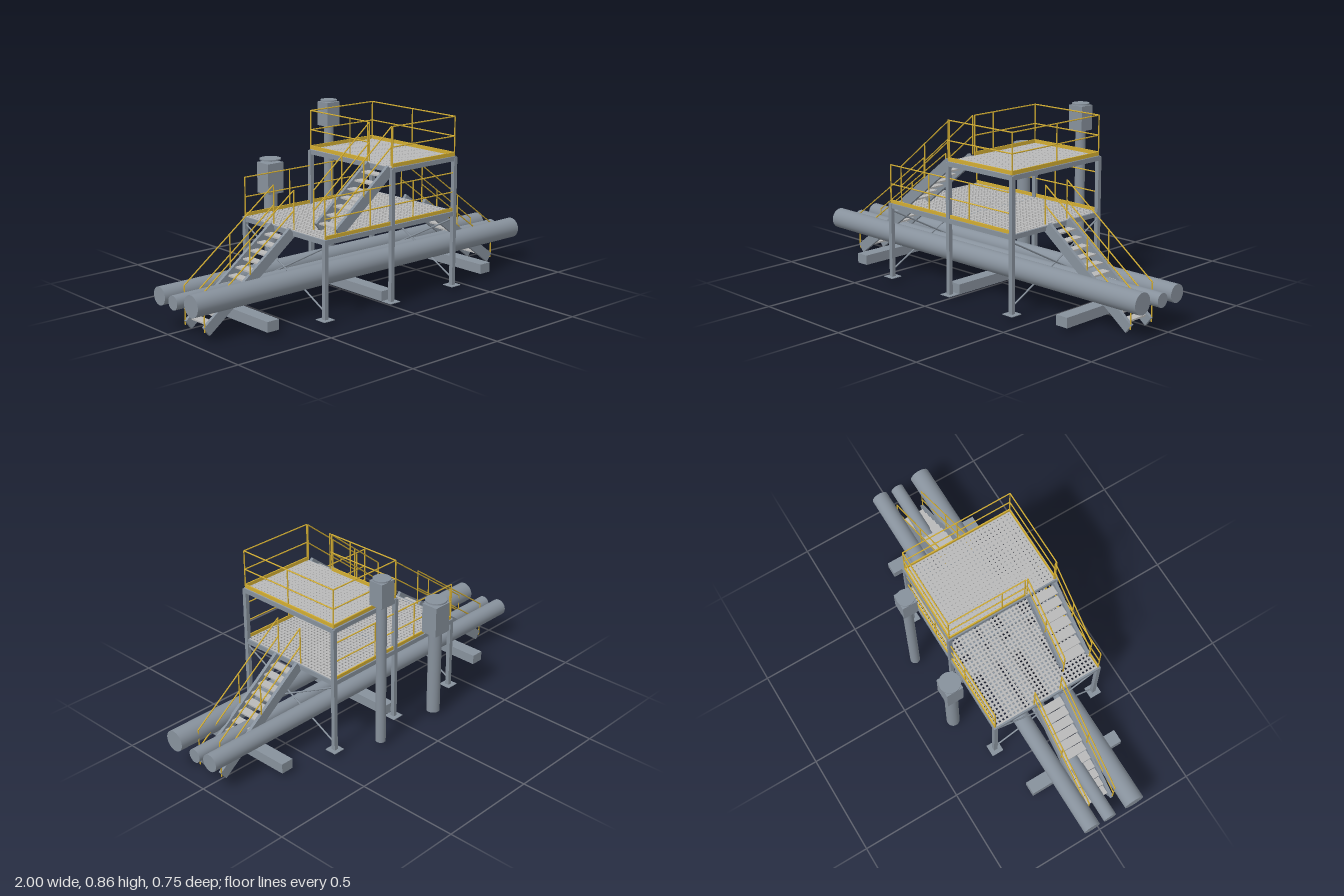
import * as THREE from 'three';
import { mergeGeometries } from 'three/addons/utils/BufferGeometryUtils.js';

const material = (name, color) => {
  const m = new THREE.MeshStandardMaterial({ color });
  m.name = name;
  return m;
};
const UP = new THREE.Vector3(0, 1, 0);

// Box given by its extents along each axis
function block(x0, x1, y0, y1, z0, z1) {
  return new THREE.BoxGeometry(x1 - x0, y1 - y0, z1 - z0)
    .translate((x0 + x1) / 2, (y0 + y1) / 2, (z0 + z1) / 2);
}

// Round bar between two points
function rod(a, b, r = 0.0032, sides = 8) {
  const p = new THREE.Vector3(...a), q = new THREE.Vector3(...b);
  const d = q.clone().sub(p);
  const g = new THREE.CylinderGeometry(r, r, d.length(), sides);
  g.applyQuaternion(new THREE.Quaternion().setFromUnitVectors(UP, d.normalize()));
  const c = p.add(q).multiplyScalar(0.5);
  return g.translate(c.x, c.y, c.z);
}

// Sloping flat member in a plane of constant z
function stringer(a, b, z, depth, width) {
  const dx = b[0] - a[0], dy = b[1] - a[1];
  return new THREE.BoxGeometry(Math.hypot(dx, dy), depth, width)
    .rotateZ(Math.atan2(dy, dx))
    .translate((a[0] + b[0]) / 2, (a[1] + b[1]) / 2, z);
}

// Handrail: top and middle rail from a to b (top rail heights), posts at the fractions in stops
function railing(a, b, postHeight, stops) {
  const lower = (p, d) => [p[0], p[1] - d, p[2]];
  const parts = [rod(a, b), rod(lower(a, 0.093), lower(b, 0.093))];
  for (const t of stops) {
    const p = a.map((v, i) => v + (b[i] - v) * t);
    parts.push(rod(p, lower(p, postHeight)));
  }
  return parts;
}

// Open grating of crossing bars
function grating(x0, x1, z0, z1, y0, y1, pitch, bar) {
  const parts = [];
  const nx = Math.round((x1 - x0) / pitch), nz = Math.round((z1 - z0) / pitch);
  for (let i = 0; i <= nx; i++) {
    const x = x0 + (x1 - x0) * i / nx;
    parts.push(block(x - bar / 2, x + bar / 2, y0, y1, z0, z1));
  }
  for (let i = 0; i <= nz; i++) {
    const z = z0 + (z1 - z0) * i / nz;
    parts.push(block(x0, x1, y0, y1, z - bar / 2, z + bar / 2));
  }
  return parts;
}

export function createModel() {
  const model = new THREE.Group();
  const steel = material('blue grey steel', 0x87919c);
  const yellow = material('safety yellow', 0xd2ad32);
  const plate = material('light grating', 0xb9b9b9);
  const add = (name, mat, parts) => {
    const mesh = new THREE.Mesh(mergeGeometries(parts), mat);
    mesh.name = name;
    model.add(mesh);
  };
  const FRONT = 0.345, BACK = -0.222, LOW = 0.385, HIGH = 0.65;

  // Pipes and the sleepers below them
  for (const [name, y, z, r] of [
    ['largePipe', 0.169, 0.179, 0.05], ['smallPipe', 0.153, 0.045, 0.033], ['mediumPipe', 0.161, -0.055, 0.042],
  ]) add(name, steel, [rod([-1, y, z], [1, y, z], r, 40)]);
  add('sleepers', steel, [-0.667, 0, 0.667].map((x) => block(x - 0.032, x + 0.032, 0.02, 0.068, -0.189, 0.313)));

  // Vent stacks: tube, square hood, neck and round cap
  for (const [name, x, r, y0, y1, w, d, capR] of [
    ['tallStack', 0.2, 0.024, 0.729, 0.847, 0.08, 0.074, 0.041],
    ['shortStack', -0.17, 0.032, 0.446, 0.595, 0.094, 0.084, 0.051],
  ]) {
    const z = -0.322, cap = y1 + (name === 'tallStack' ? 0.003 : 0.012);
    add(name, steel, [
      rod([x, 0.02, z], [x, y0 + 0.01, z], r, 32),
      block(x - w / 2, x + w / 2, y0, y1, z - d / 2, z + d / 2),
      rod([x, y1 - 0.005, z], [x, cap + 0.003, z], 0.008, 12),
      rod([x, cap, z], [x, cap + 0.007, z], capR, 32),
    ]);
  }

  // Legs with base plates
  const legs = [];
  for (const [x, top] of [[-0.4, LOW], [0, 0.645], [0.4, 0.645]]) {
    for (const z of [FRONT, BACK]) {
      legs.push(block(x - 0.01, x + 0.01, 0.02, top, z - 0.01, z + 0.01));
      legs.push(block(x - 0.03, x + 0.03, 0.019, 0.022, z - 0.03, z + 0.03));
    }
  }
  add('legs', steel, legs);

  // Platform frames
  const frame = (xs, y0, y1) => [
    ...xs.map((x) => block(x - 0.009, x + 0.009, y0, y1, BACK, FRONT)),
    ...[BACK, FRONT].map((z) => block(xs[0], xs[xs.length - 1], y0, y1, z - 0.009, z + 0.009)),
  ];
  add('lowerFrame', steel, frame([-0.4, 0, 0.4], 0.362, LOW - 0.001));
  add('upperFrame', steel, frame([0, 0.4], 0.627, HIGH - 0.001));

  // Cross bracing at both ends
  const braces = [];
  for (const x of [-0.4, 0.4]) {
    braces.push(rod([x, 0.346, 0.338], [x, 0.058, -0.215], 0.004));
    braces.push(rod([x, 0.346, -0.215], [x, 0.058, 0.338], 0.004));
  }
  add('crossBraces', steel, braces);

  // Decks
  add('lowerDeck', plate, grating(-0.396, 0.396, BACK + 0.004, FRONT - 0.004, 0.376, LOW, 0.02, 0.009));
  add('upperDeck', plate, grating(0.004, 0.396, BACK + 0.004, FRONT - 0.004, 0.643, HIGH + 0.001, 0.02, 0.014));

  // Toe boards
  const t = 0.003;
  add('toeBoards', yellow, [
    ...[BACK, FRONT].map((z) => block(-0.4, 0.4, LOW, LOW + 0.016, z - t, z + t)),
    ...[BACK, FRONT].map((z) => block(0, 0.4, HIGH, 0.668, z - t, z + t)),
    block(0.4 - t, 0.4 + t, HIGH, 0.668, BACK, FRONT),
    block(-t, t, HIGH, 0.668, BACK, 0.18),
  ]);

  // Platform railings
  const lowTop = 0.57, highTop = 0.837;
  const rails = [];
  for (const z of [FRONT, BACK]) {
    rails.push(...railing([-0.4, lowTop, z], [0.4, lowTop, z], lowTop - LOW, [0, 1 / 3, 2 / 3, 1]));
    rails.push(...railing([0, highTop, z], [0.4, highTop, z], highTop - HIGH, [0, 1]));
  }
  rails.push(...railing([0.4, highTop, BACK], [0.4, highTop, FRONT], highTop - HIGH, [0.5, 1]));
  rails.push(...railing([0, highTop, BACK], [0, highTop, 0.18], highTop - HIGH, [0.7, 1]));
  add('platformRailings', yellow, rails);

  // Stair: stringers, treads and handrails in the plane of the slope
  function stair(name, foot, head, z0, z1, firstY, rise, count, railFoot, railHead) {
    const slope = (head[1] - foot[1]) / (head[0] - foot[0]);
    add(name + 'Stringers', steel, [z0, z1].map((z) => stringer(foot, head, z, 0.05, 0.016)));
    const treads = [];
    for (let i = 0; i < count; i++) {
      const y = firstY + rise * i, x = foot[0] + (y - foot[1]) / slope;
      treads.push(block(x - 0.022, x + 0.022, y - 0.004, y + 0.004, z0, z1));
    }
    add(name + 'Treads', plate, treads);
    add(name + 'Handrails', yellow, [z0 - 0.005, z1 + 0.005].flatMap((z) =>
      railing([...railFoot, z], [...railHead, z], 0.18, [0, 0.5, 1])));
  }
  for (const s of [-1, 1]) {
    stair(s < 0 ? 'rightStair' : 'leftStair', [s * 0.89, 0.02], [s * 0.41, 0.38], -0.005, 0.128,
      0.046, 0.0308, 11, [s * 0.9, 0.2], [s * 0.4, lowTop]);
  }
  stair('upperStair', [-0.315, 0.398], [-0.005, 0.64], 0.197, 0.333,
    0.416, 0.0332, 7, [-0.334, lowTop], [0, highTop]);

  return model;
}
